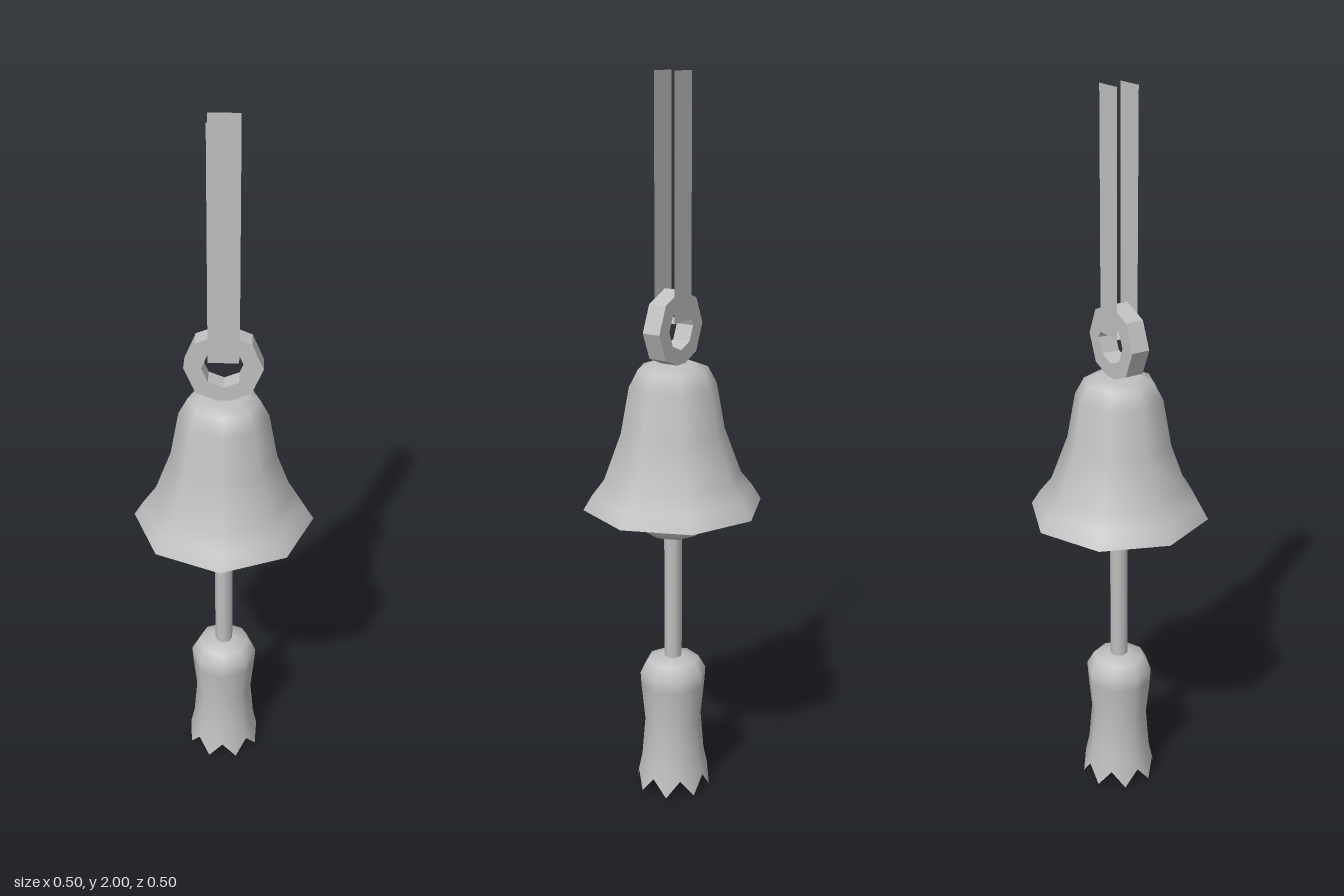
import * as THREE from 'three';

const grey = new THREE.MeshStandardMaterial({ color: 0xc0c0c0, side: THREE.DoubleSide });
grey.name = 'light grey';

const lathe = (points, sides = 8) =>
  new THREE.LatheGeometry(points.map(([r, y]) => new THREE.Vector2(r, y)), sides);

export function createModel() {
  const group = new THREE.Group();
  const add = (name, geometry, parent = group) => {
    const mesh = new THREE.Mesh(geometry, grey);
    mesh.name = name;
    parent.add(mesh);
    return mesh;
  };

  // Bell: outer shell, flat rim and inner shell, kept apart for sharp edges
  const bell = new THREE.Group();
  bell.name = 'bell';
  group.add(bell);
  add('bellOuter', lathe([[0.248, 0.853], [0.224, 0.893], [0.19, 0.936], [0.143, 1.063],
    [0.12, 1.19], [0.095, 1.237], [0.06, 1.25], [0, 1.25]]), bell);
  add('bellRim', lathe([[0.2, 0.853], [0.248, 0.853]]), bell);
  add('bellInner', lathe([[0, 1.21], [0.07, 1.2], [0.1, 1.17], [0.12, 1.06],
    [0.16, 0.94], [0.2, 0.853]]), bell);

  // Clapper ball and the rod below it
  add('clapper', lathe([[0, 0.76], [0.075, 0.776], [0.102, 0.855], [0.075, 0.93], [0, 0.955]]));
  const rod = add('rod', new THREE.CylinderGeometry(0.025, 0.025, 0.6, 8));
  rod.position.y = 0.66;

  // Tassel: eight-sided open skirt with a zigzag hem
  const rows = [[0.106, 0.01], [0.09, 0.1], [0.081, 0.21], [0.092, 0.32], [0.094, 0.355],
    [0.073, 0.392], [0.03, 0.402], [0, 0.402]];
  const skirt = lathe(rows, 16);
  const pos = skirt.attributes.position;
  for (let i = 0; i < pos.count; i++) {
    const row = i % rows.length;
    const odd = Math.floor(i / rows.length) % 2 === 1;
    if (row === 0) {
      const s = odd ? 1 : 0.95;
      pos.setXYZ(i, pos.getX(i) * s, odd ? 0 : 0.05, pos.getZ(i) * s);
    } else if (odd) {
      const s = Math.cos(Math.PI / 8);
      pos.setXYZ(i, pos.getX(i) * s, pos.getY(i), pos.getZ(i) * s);
    }
  }
  add('tassel', skirt);

  // Octagonal hanging ring
  const octagon = (r) => Array.from({ length: 8 }, (_, i) =>
    new THREE.Vector2(r * Math.cos(i * Math.PI / 4), r * Math.sin(i * Math.PI / 4)));
  const ringShape = new THREE.Shape(octagon(0.103));
  ringShape.holes.push(new THREE.Path(octagon(0.057)));
  const ring = add('ring', new THREE.ExtrudeGeometry(ringShape, { depth: 0.052, bevelEnabled: false }));
  ring.position.set(0, 1.345, -0.026);

  // Thin strap folded through the ring
  for (const side of [1, -1]) {
    const plate = add(side > 0 ? 'strapFront' : 'strapBack', new THREE.PlaneGeometry(0.08, 0.635));
    plate.position.set(0, 1.6825, side * 0.031);
    if (side < 0) plate.rotation.y = Math.PI;
  }
  const fold = add('strapFold', new THREE.PlaneGeometry(0.08, 0.062));
  fold.rotation.x = Math.PI / 2;
  fold.position.y = 1.365;

  return group;
}
